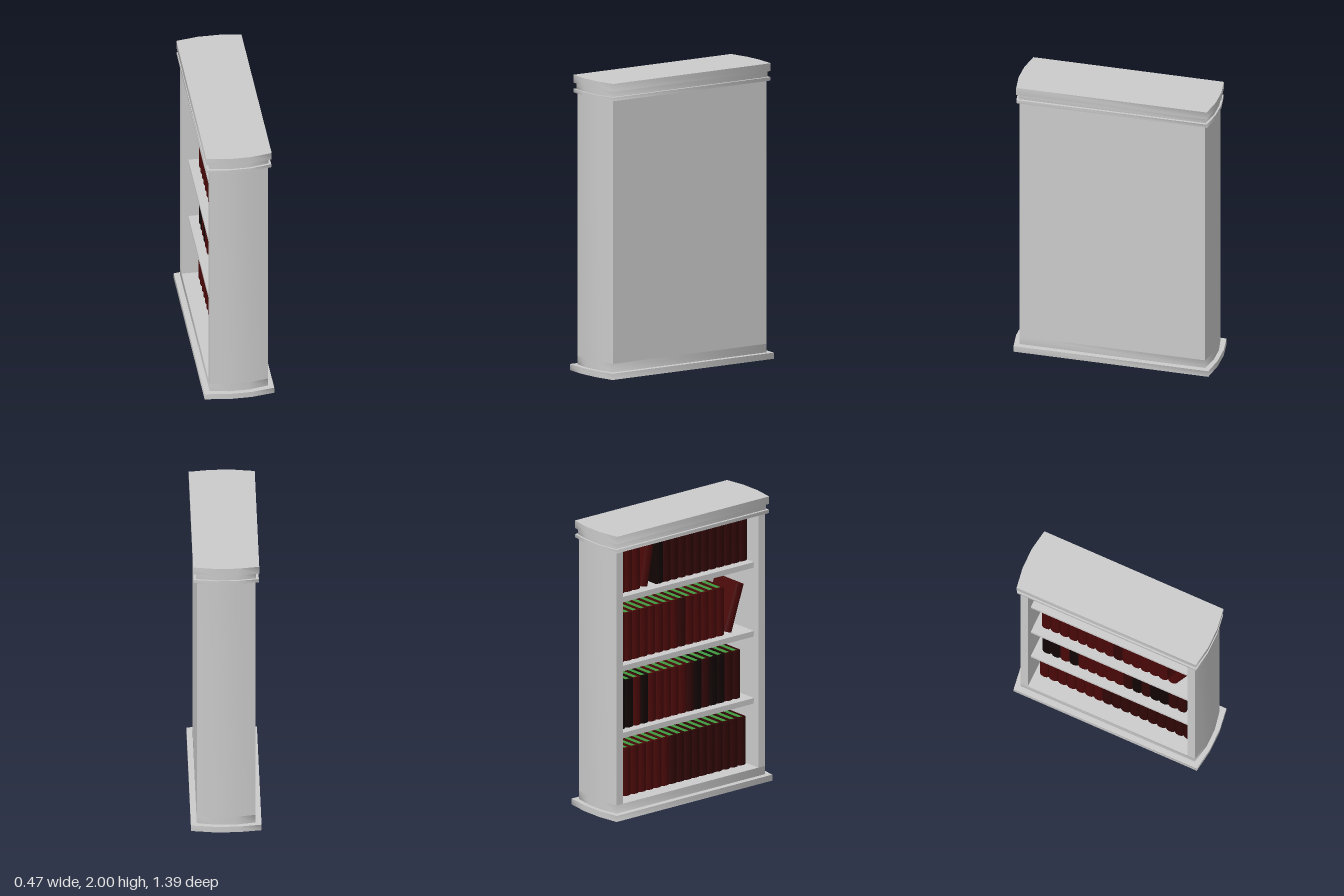
import * as THREE from 'three';
import { toCreasedNormals } from 'three/addons/utils/BufferGeometryUtils.js';

const grey = new THREE.MeshStandardMaterial({ color: 0xcccccc });
const pageMaterial = new THREE.MeshStandardMaterial({ color: 0x3f9a3f });
// Cover colours: r red, d dark red, k nearly black
const covers = {
  r: new THREE.MeshStandardMaterial({ color: 0x4a0808 }),
  d: new THREE.MeshStandardMaterial({ color: 0x300606 }),
  k: new THREE.MeshStandardMaterial({ color: 0x120404 }),
};

function add(parent, name, geometry, material = grey) {
  const mesh = new THREE.Mesh(geometry, material);
  mesh.name = name;
  parent.add(mesh);
  return mesh;
}

// Box given by its lower and upper corners
function box(parent, name, [x0, y0, z0], [x1, y1, z1]) {
  const mesh = add(parent, name, new THREE.BoxGeometry(x1 - x0, y1 - y0, z1 - z0));
  mesh.position.set((x0 + x1) / 2, (y0 + y1) / 2, (z0 + z1) / 2);
}

// Plan points (x, z) raised from y0 to y1
function raise(points, y0, y1, crease) {
  const shape = new THREE.Shape(points.map(([x, z]) => new THREE.Vector2(x, -z)));
  const geometry = new THREE.ExtrudeGeometry(shape, { depth: y1 - y0, bevelEnabled: false });
  geometry.rotateX(-Math.PI / 2).translate(0, y0, 0);
  return toCreasedNormals(geometry, crease);
}

// Bowed end line: straight corners, flat middle third
const bow = (w, corner, middle) => [[w, corner], [w / 3, middle], [-w / 3, middle], [-w, corner]];

// Slab whose two short ends are bowed, shaded smoothly round its corners
function slab(parent, name, w, corner, middle, y0, y1) {
  const end = bow(w, corner, middle);
  add(parent, name, raise([...end, ...end.map(([x, z]) => [-x, -z])], y0, y1, 1.45));
}

const W = 0.196, INNER = 0.585, HEIGHT = 0.337, THICK = 0.066;
const FRONT = -0.09, BACK = 0.15;

// Book cover wraps round a rounded spine at the front; pages sit inside
function bookGeometries() {
  const t = THICK / 2 - 0.001, i = t - 0.008;
  const plan = [[BACK, t], [FRONT + 0.012, t], [FRONT + 0.003, t * 0.6], [FRONT, 0],
    [FRONT + 0.003, -t * 0.6], [FRONT + 0.012, -t], [BACK, -t],
    [BACK, -i], [FRONT + 0.02, -i], [FRONT + 0.02, i], [BACK, i]];
  const cover = raise(plan, 0, HEIGHT, 0.6);
  const length = BACK - FRONT - 0.03;
  const pages = new THREE.BoxGeometry(length, HEIGHT - 0.016, 2 * i);
  pages.translate(FRONT + 0.02 + length / 2, HEIGHT / 2, 0);
  return { cover, pages };
}

export function createModel() {
  const model = new THREE.Group();
  model.name = 'bookcase';

  // Plinth and crown mouldings
  slab(model, 'plinth', 0.235, 0.672, 0.695, 0, 0.042);
  slab(model, 'lowerRail', W, 0.64, 0.665, 0.04, 0.1);
  slab(model, 'lowerCornice', 0.217, 0.657, 0.68, 1.882, 1.906);
  slab(model, 'corniceNeck', 0.2, 0.645, 0.668, 1.904, 1.95);
  slab(model, 'topSlab', 0.22, 0.657, 0.68, 1.947, 2);

  // Bowed end walls
  for (const side of [1, -1]) {
    const plan = [...bow(W, 0.64, 0.665), [-W, INNER], [W, INNER]];
    const wall = add(model, side > 0 ? 'frontEndWall' : 'backEndWall', raise(plan, 0.1, 1.884, 0.6));
    if (side < 0) wall.rotation.y = Math.PI;
  }

  // Closed long side, set between the end walls
  box(model, 'backPanel', [0.175, 0.1, -INNER], [W, 1.884, INNER]);

  // Shelves, each with a stiffening lip under the open edge
  const levels = [0.1, 0.578, 1.05, 1.535];
  for (const y of levels.slice(1)) {
    box(model, 'shelf', [-0.15, y - 0.025, -INNER], [0.175, y, INNER]);
    box(model, 'shelfLip', [-0.142, y - 0.042, -INNER], [-0.12, y - 0.025, INNER]);
  }

  // Rows from the bottom up: z of the row's end and its cover colours
  const rows = [
    { end: 0.57, colors: 'rrrrrrrdddddddddd' },
    { end: 0.523, colors: 'kkrkrrrrrdkdkkdd' },
    { end: 0.385, colors: 'rrrrrrrrdrrrrr', leaning: true },
    { end: 0.583, colors: 'rrrrkkddddddddddd', gap: 4 },
  ];
  const { cover, pages } = bookGeometries();

  rows.forEach(({ end, colors, leaning, gap }, r) => {
    const row = new THREE.Group();
    row.name = 'bookRow' + (r + 1);
    row.position.y = levels[r];
    model.add(row);

    const addBook = (color, z, tilt = 0) => {
      const book = new THREE.Group();
      book.name = 'book';
      add(book, 'bookCover', cover, covers[color]);
      add(book, 'bookPages', pages, pageMaterial);
      book.position.set(0, Math.sin(tilt) * THICK / 2, z);
      book.rotation.x = tilt;
      row.add(book);
    };

    [...colors].forEach((color, i) => {
      const z = end - (colors.length - i - 0.5) * THICK;
      if (i !== gap) addBook(color, z, i + 1 === gap ? 0.18 : 0);
    });
    if (leaning) addBook('r', end + THICK * 0.5, 0.32);
  });

  return model;
}
